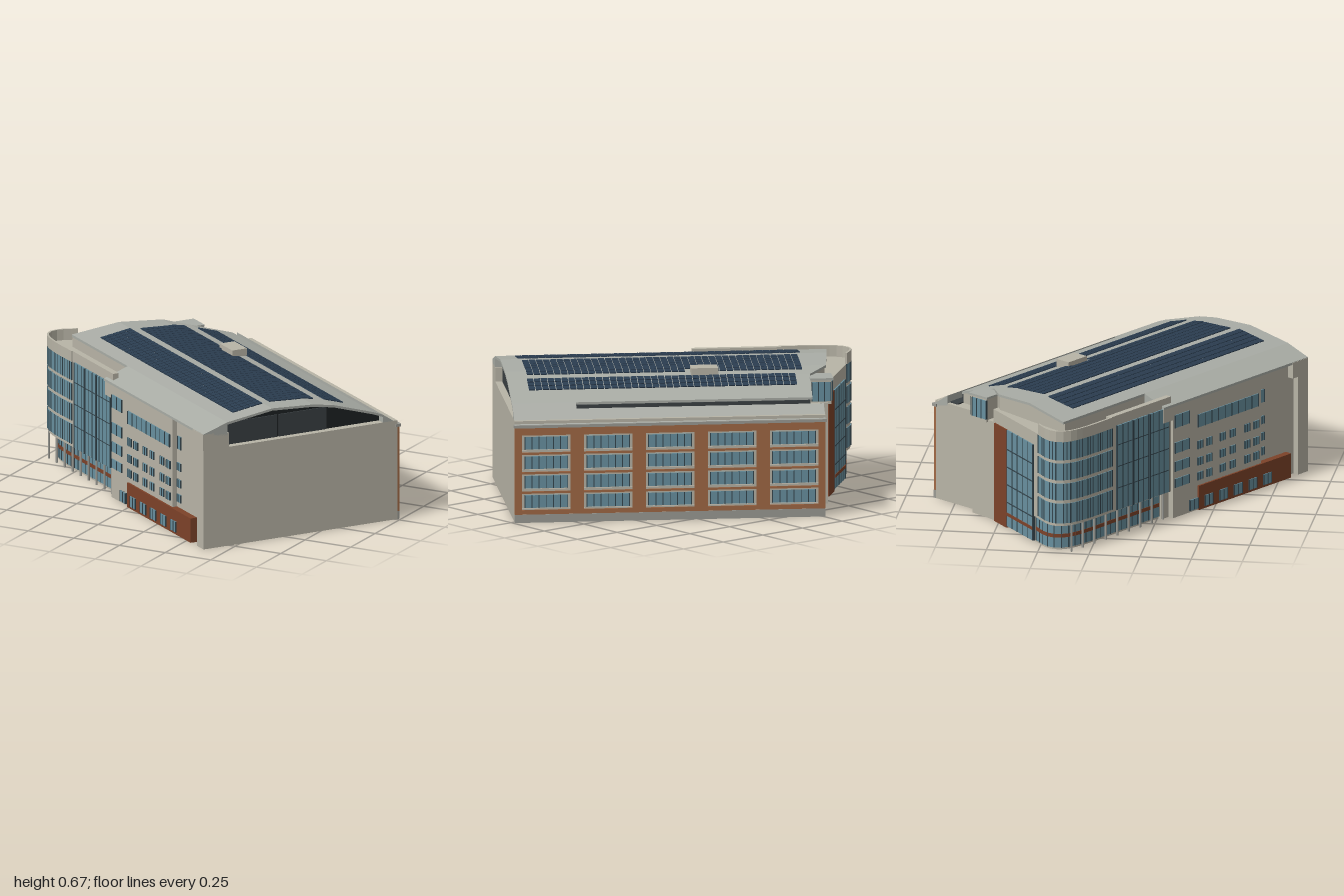
import * as THREE from 'three';
import { mergeGeometries } from 'three/addons/utils/BufferGeometryUtils.js';
import { ConvexGeometry } from 'three/addons/geometries/ConvexGeometry.js';

const mat = (color) => new THREE.MeshStandardMaterial({ color, flatShading: true });
const M = {
  wall: mat(0xb8b4a6), roof: mat(0xa9aca5), brick: mat(0x7d4229), backBrick: mat(0xa06844),
  glass: mat(0x68909f), frame: mat(0x34454d), solar: mat(0x2b3d50), dark: mat(0x3a4043),
  black: mat(0x1d2122), stone: mat(0x9a9a94),
};

export function createModel() {
  // Plan coordinates: u along the building, v towards its front; turned at the end.
  const g = new THREE.Group();
  g.name = 'building';
  const batches = new Map();
  // Collect geometry per part name and material, merged into one mesh each
  const add = (name, m, geo) => {
    const key = name + m.uuid;
    if (!batches.has(key)) batches.set(key, { name, m, list: [] });
    geo = geo.index ? geo.toNonIndexed() : geo;
    geo.deleteAttribute('uv');
    batches.get(key).list.push(geo);
  };
  const box = (name, m, u0, u1, y0, y1, v0, v1) => add(name, m,
    new THREE.BoxGeometry(u1 - u0, y1 - y0, v1 - v0)
      .translate((u0 + u1) / 2, (y0 + y1) / 2, (v0 + v1) / 2));
  // Upright panel on the wall line a-b, between distances s0 and s1
  const panel = (name, m, a, b, s0, s1, y0, y1, depth) => {
    const du = b[0] - a[0], dv = b[1] - a[1], L = Math.hypot(du, dv), s = (s0 + s1) / 2 / L;
    add(name, m, new THREE.BoxGeometry(s1 - s0, y1 - y0, depth * 2)
      .rotateY(-Math.atan2(dv, du)).translate(a[0] + du * s, (y0 + y1) / 2, a[1] + dv * s));
  };
  // Glazing split by mullions
  const glazing = (name, a, b, s0, s1, y0, y1, cols, depth) => {
    panel(name, M.glass, a, b, s0, s1, y0, y1, depth);
    for (let i = 0; i <= cols; i++) {
      const s = s0 + (s1 - s0) * i / cols;
      panel(name + 'Mullions', M.frame, a, b, s - 0.002, s + 0.002, y0, y1, depth + 0.002);
    }
  };
  const slab = (name, m, pts, y0, y1) => {
    const shape = new THREE.Shape(pts.map(([u, v]) => new THREE.Vector2(u, -v)));
    add(name, m, new THREE.ExtrudeGeometry(shape, { depth: y1 - y0, bevelEnabled: false })
      .rotateX(-Math.PI / 2).translate(0, y0, 0));
  };
  // Convex piece between two roof stations [v, top, bottom], from u0 to u1
  const piece = (name, m, p, q, uP, uQ, u1) => add(name, m, new ConvexGeometry(
    [[p, uP], [q, uQ]].flatMap(([[v, t, b], u0]) => [[u0, t], [u0, b], [u1, t], [u1, b]]
      .map(([u, y]) => new THREE.Vector3(u, y, v)))));

  // Main body with the rounded corner, set back at ground level
  const curve = new THREE.CatmullRomCurve3([[-0.58, 0.484], [-0.756, 0.484], [-0.862, 0.467],
    [-0.908, 0.432], [-0.918, 0.38], [-0.888, 0.29]].map(([u, v]) => new THREE.Vector3(u, 0, v)));
  const round = curve.getSpacedPoints(14).map((p) => [p.x, p.z]);
  const inner = round.map(([u, v]) => [u + 0.03, v - 0.04]);
  const leftA = [-0.753, -0.13], leftB = [-0.888, 0.29];
  const rear = [leftA, [-0.74, -0.28], [-0.7, -0.28], [-0.7, -0.56], [0.81, -0.56], [0.81, 0.5]];
  const front = [[0.74, 0.5], [0.74, 0.47], [0.48, 0.47], [0.48, 0.495], [-0.15, 0.495], [-0.15, 0.465]];
  slab('groundFloor', M.wall, [...inner, ...rear, ...front, [-0.2, 0.465], [-0.2, 0.444]], 0, 0.135);
  slab('upperFloors', M.wall, [...round, ...rear, ...front], 0.135, 0.5);
  slab('terrace', M.wall, [...round, leftA, [-0.6, -0.13], [-0.2, 0.2], [-0.2, 0.475]], 0.5, 0.565);
  box('eavesWall', M.wall, -0.22, 0.48, 0.5, 0.57, 0.36, 0.495);
  box('eavesWall', M.wall, 0.48, 0.81, 0.5, 0.57, 0.36, 0.47);
  box('cornerBox', M.wall, 0.70, 0.81, 0.5, 0.58, 0.44, 0.502);

  // Curved corner: four bands of glass, parapet and ground-floor glazing
  for (let i = 0; i < round.length - 1; i++) {
    const a = round[i], b = round[i + 1], L = Math.hypot(b[0] - a[0], b[1] - a[1]);
    for (const [y0, y1] of [[0.15, 0.25], [0.268, 0.352], [0.37, 0.455], [0.472, 0.565]])
      glazing('cornerGlass', a, b, 0, L, y0, y1, i % 2 ? 1 : 2, 0.004);
    panel('parapet', M.wall, a, b, -0.001, L + 0.001, 0.565, 0.62, 0.005);
    glazing('groundGlass', inner[i], inner[i + 1], 0, L, 0.01, 0.125, 1, 0.004);
    panel('groundBand', M.brick, inner[i], inner[i + 1], 0, L, 0.062, 0.08, 0.007);
  }
  const gA = [-0.55, 0.444], gB = [-0.2, 0.444];
  glazing('groundGlass', gA, gB, 0, 0.35, 0.01, 0.125, 9, 0.004);
  panel('groundBand', M.brick, gA, gB, 0, 0.36, 0.062, 0.08, 0.007);
  for (let i = 0; i < 9; i++)
    add('columns', M.stone, new THREE.CylinderGeometry(0.006, 0.006, 0.14, 8)
      .translate(-0.85 + i * 0.082, 0.07, 0.468));

  // Tall glass bay on the front
  const fA = [-0.56, 0.485], fB = [-0.17, 0.485];
  box('bayWall', M.wall, -0.59, -0.155, 0.135, 0.62, 0.455, 0.484);
  glazing('bayGlass', fA, fB, 0.015, 0.385, 0.14, 0.57, 10, 0.006);
  for (const y of [0.25, 0.36, 0.47]) panel('bayTransoms', M.frame, fA, fB, 0.015, 0.385, y, y + 0.004, 0.008);
  for (const s of [0.12, 0.24]) panel('bayFins', M.frame, fA, fB, s, s + 0.01, 0.14, 0.57, 0.012);

  // Front wall windows, using positions measured from u = 0
  const wA = [0, 0.495], wB = [1, 0.495];
  for (const [y, h] of [[0.49, 0.065], [0.355, 0.055], [0.26, 0.05], [0.175, 0.045]])
    glazing('stairWindows', wA, wB, -0.14, -0.04, y - h / 2, y + h / 2, 2, 0.005);
  for (const u of [0.04, 0.105, 0.202, 0.274, 0.377, 0.442])
    for (const y of [0.33, 0.246, 0.171])
      glazing('smallWindows', wA, wB, u - 0.018, u + 0.018, y - 0.02, y + 0.02, 2, 0.005);
  for (const y of [0.33, 0.246, 0.171])
    glazing('smallWindows', [0, 0.47], [1, 0.47], 0.475 + 0.015, 0.525, y - 0.02, y + 0.02, 2, 0.005);
  glazing('ribbonWindow', wA, wB, 0.025, 0.455, 0.42, 0.485, 9, 0.005);
  glazing('smallWindows', [0, 0.47], [1, 0.47], 0.495, 0.525, 0.42, 0.485, 1, 0.005);
  box('brickPlinth', M.brick, 0.025, 0.685, 0, 0.123, 0.46, 0.505);
  const bA = [0, 0.505], bB = [1, 0.505];
  for (let i = 0; i < 6; i++)
    glazing('plinthWindows', bA, bB, -0.04 + i * 0.105, 0.015 + i * 0.105, 0.012, 0.066, 2, i ? 0.004 : 0.003);

  // Left side: brick panel, then glass curtain wall
  panel('sideBrick', M.brick, leftA, leftB, 0.015, 0.135, 0, 0.5, 0.006);
  glazing('sideGlass', leftA, leftB, 0.14, 0.39, 0.01, 0.5, 5, 0.006);
  for (const y of [0.13, 0.22, 0.31, 0.4]) panel('sideTransoms', M.frame, leftA, leftB, 0.14, 0.39, y, y + 0.005, 0.009);
  panel('sideBand', M.brick, leftA, leftB, 0.14, 0.39, 0.065, 0.08, 0.01);
  const lA = [-0.762, -0.26], lB = [-0.762, -0.17];
  box('glassBox', M.wall, -0.76, -0.66, 0.49, 0.61, -0.27, -0.17);
  glazing('glassBoxPanes', lA, lB, 0, 0.09, 0.505, 0.6, 3, 0.003);
  glazing('glassBoxPanes', [-0.755, -0.271], [-0.665, -0.271], 0, 0.09, 0.505, 0.6, 3, 0.003);
  box('glassBoxCap', M.roof, -0.768, -0.655, 0.61, 0.62, -0.28, -0.16);

  // Back wall: brick piers framing five bays of four storeys
  box('backBase', M.stone, -0.7, 0.81, 0, 0.04, -0.572, -0.555);
  box('backCap', M.stone, -0.705, 0.815, 0.468, 0.482, -0.578, -0.55);
  box('backBrickTop', M.backBrick, -0.7, 0.81, 0.44, 0.468, -0.57, -0.555);
  box('backBrickFoot', M.backBrick, -0.7, 0.81, 0.04, 0.062, -0.57, -0.555);
  let pier = -0.7;
  const kA = [0, -0.561], kB = [1, -0.561];
  for (let i = 0; i < 5; i++) {
    const u = -0.7 + 0.035 + i * 0.301;
    box('backPiers', M.backBrick, pier, u, 0.062, 0.44, -0.57, -0.555);
    pier = u + 0.236;
    for (let r = 0; r < 4; r++) {
      const y = 0.072 + r * 0.096;
      glazing('backWindows', kA, kB, u + 0.014, u + 0.222, y, y + 0.062, 6, 0.004);
      box('backSills', M.wall, u, pier, y - 0.009, y - 0.002, -0.568, -0.555);
      box('backSpandrels', M.backBrick, u, pier, y + 0.07, y + 0.081, -0.566, -0.555);
    }
  }
  box('backPiers', M.backBrick, pier, 0.81, 0.062, 0.44, -0.57, -0.555);

  // Arched roof: stations [v, y, left end], over a recessed dark gable
  const P = [[0.37, 0.625, -0.8], [0.125, 0.66, -0.775], [-0.1, 0.647, -0.75],
    [-0.21, 0.628, -0.66], [-0.43, 0.56, -0.65], [-0.48, 0.54, 0.5]];
  for (let i = 0; i < P.length - 1; i++) {
    const [v0, y0, a] = P[i], [v1, y1] = P[i + 1], last = i === P.length - 2;
    const uP = last ? 0.5 : a, uQ = P[i + 1][2];
    const top = [[v0, y0, y0 - 0.012], [v1, y1, y1 - 0.012]];
    const under = [[v0, y0 - 0.012, 0.5], [v1, y1 - 0.012, 0.5]];
    piece('roof', M.roof, ...top, uP, uQ, 0.81);
    piece('penthouse', M.wall, ...under, uP + 0.01, uQ + 0.01, 0.7);
    piece('gable', M.black, ...under, 0.7, 0.77, 0.77);
    if (i === 3) { // full-length upper edge beside the gutter trench
      piece('roof', M.roof, ...top, -0.65, -0.65, 0.81);
      piece('penthouse', M.wall, ...under, -0.64, -0.64, 0.7);
    }
  }
  box('gablePanels', M.dark, 0.765, 0.776, 0.5, 0.612, 0.08, 0.365);
  box('gablePanels', M.dark, 0.765, 0.776, 0.5, 0.612, -0.19, 0.07);
  piece('frontSlope', M.roof, [0.37, 0.625, 0.56], [0.5, 0.582, 0.57], -0.22, -0.22, 0.81);
  piece('backSlope', M.roof, [-0.48, 0.54, 0.49], [-0.565, 0.482, 0.47], -0.7, -0.7, 0.81);
  box('trenchFloor', M.dark, -0.68, 0.5, 0.495, 0.506, -0.48, -0.43);
  box('trenchWall', M.dark, -0.64, 0.5, 0.5, 0.548, -0.436, -0.43);

  // Solar panels laid on the roof slopes
  const roofAt = (v) => {
    const i = Math.max(0, P.findIndex((p, k) => k < P.length - 1 && v <= p[0] && v >= P[k + 1][0]));
    const [v0, y0] = P[i], [v1, y1] = P[i + 1], k = (y1 - y0) / (v1 - v0);
    return [y0 + k * (v - v0), -Math.atan(k)];
  };
  for (const [v0, v1, rows, u0] of [[0.13, 0.295, 5, -0.65], [-0.155, 0.088, 7, -0.63], [-0.315, -0.205, 3, -0.59]]) {
    const dv = (v1 - v0) / rows, du = 0.0335;
    for (let r = 0; r < rows; r++) {
      const v = v0 + dv * (r + 0.5), [y, tilt] = roofAt(v);
      for (let u = u0; u < 0.69; u += du) {
        if (Math.abs(u + 0.14) < 0.07 && Math.abs(v + 0.17) < 0.05) continue;
        add('solarPanels', M.solar, new THREE.BoxGeometry(du - 0.004, 0.005, dv - 0.004)
          .rotateX(tilt).translate(u + du / 2, y + 0.004, v));
      }
    }
  }
  box('roofUnit', M.wall, -0.215, -0.085, 0.62, 0.668, -0.21, -0.13);

  for (const { name, m, list } of batches.values()) {
    const mesh = new THREE.Mesh(mergeGeometries(list), m);
    mesh.name = name;
    g.add(mesh);
  }
  g.rotation.y = -0.5955;
  const model = new THREE.Group();
  model.add(g);
  return model;
}
